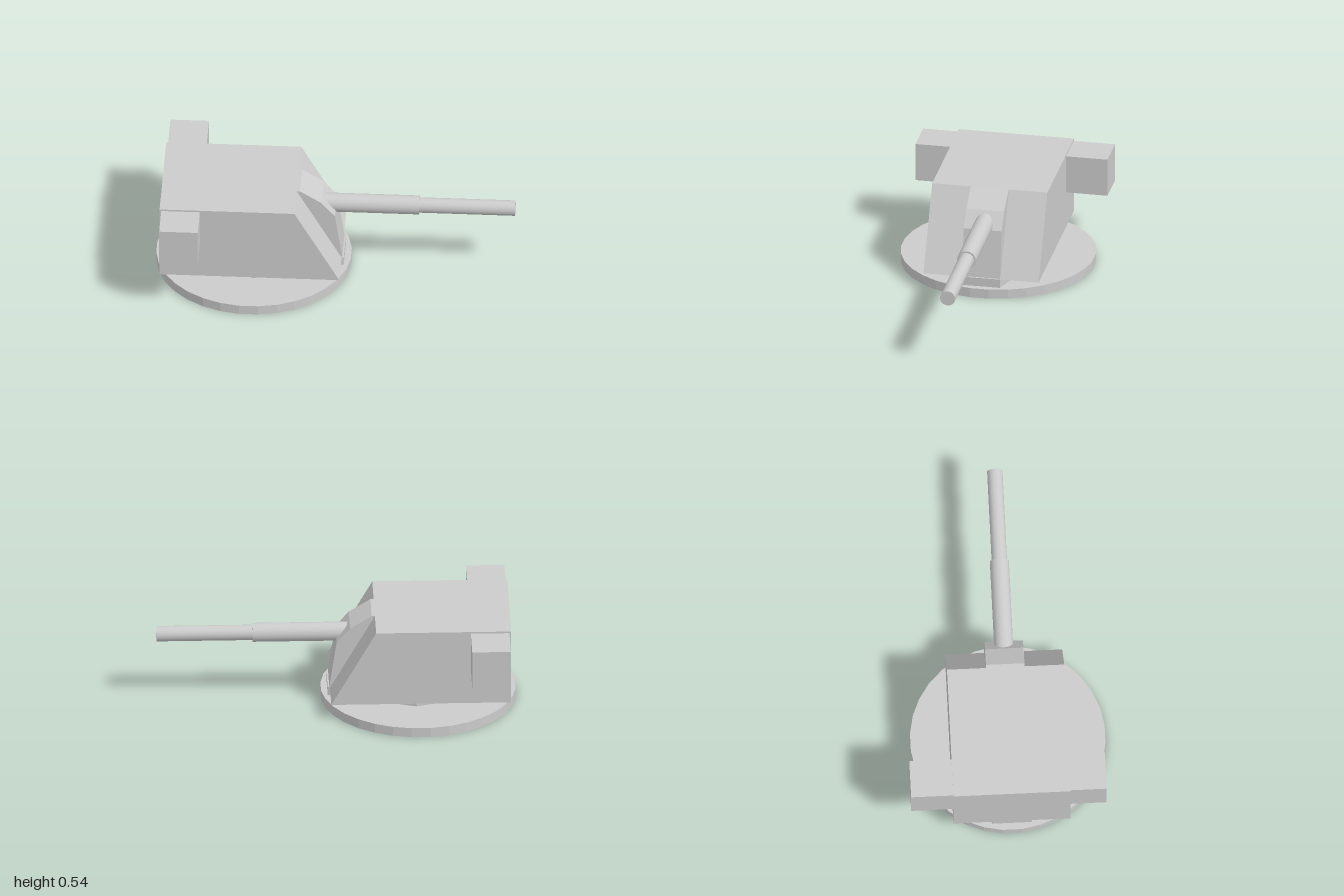
import * as THREE from 'three';

const MID_Z = 0.007; // centre line of the turret

export function createModel() {
  const group = new THREE.Group();
  const flat = new THREE.MeshStandardMaterial({ color: 0xcccccc, flatShading: true });
  const smooth = new THREE.MeshStandardMaterial({ color: 0xcccccc });

  const add = (name, geometry, material, x = 0, y = 0, z = 0) => {
    const mesh = new THREE.Mesh(geometry, material);
    mesh.name = name;
    mesh.position.set(x, y, z);
    group.add(mesh);
    return mesh;
  };

  // Solid with an outline in x/y, spanning z0 to z1
  const slab = (name, points, z0, z1) => {
    const shape = new THREE.Shape(points.map(([x, y]) => new THREE.Vector2(x, y)));
    const geometry = new THREE.ExtrudeGeometry(shape, { depth: z1 - z0, bevelEnabled: false });
    return add(name, geometry, flat, 0, 0, z0);
  };

  // Round base plate
  const base = new THREE.CylinderGeometry(0.545, 0.545, 0.055, 32);
  base.rotateY(Math.PI / 32);
  add('basePlate', base, flat, -0.457, 0.0275, MID_Z);

  // Six-sided neck between base and housing
  const neckOutline = [
    [0.05, -0.11], [0.05, 0.11], [-0.44, 0.27],
    [-0.96, 0.11], [-0.96, -0.11], [-0.44, -0.27],
  ].map(([x, z]) => new THREE.Vector2(x, z));
  const neck = new THREE.ExtrudeGeometry(new THREE.Shape(neckOutline), { depth: 0.055, bevelEnabled: false });
  neck.rotateX(-Math.PI / 2);
  add('neck', neck, flat, 0, 0.05, MID_Z);

  // Sloped armour housings on each side of the gun
  const sideProfile = [[-0.965, 0.1], [0.037, 0.1], [-0.213, 0.54], [-0.965, 0.54]];
  slab('leftHousing', sideProfile, 0.113, 0.334);
  slab('rightHousing', sideProfile, -0.32, -0.102);

  // Middle housing with the faceted gun shield
  slab('gunShield', [
    [-0.965, 0.1], [0.042, 0.1], [0.0, 0.378], [-0.075, 0.465], [-0.195, 0.54], [-0.965, 0.54],
  ], -0.102, 0.113);

  // Rangefinder boxes at the rear
  for (const [name, z0, z1] of [['leftRearBox', 0.3, 0.535], ['rightRearBox', -0.555, -0.3]]) {
    add(name, new THREE.BoxGeometry(0.215, 0.22, z1 - z0), flat, -0.848, 0.42, (z0 + z1) / 2);
  }

  // Two-step gun barrel
  for (const [name, radius, x0, x1] of [['barrelSleeve', 0.053, -0.15, 0.465], ['barrel', 0.043, 0.4, 1]]) {
    const tube = new THREE.CylinderGeometry(radius, radius, x1 - x0, 32);
    tube.rotateZ(-Math.PI / 2);
    add(name, tube, smooth, (x0 + x1) / 2, 0.398, 0.004);
  }

  return group;
}
